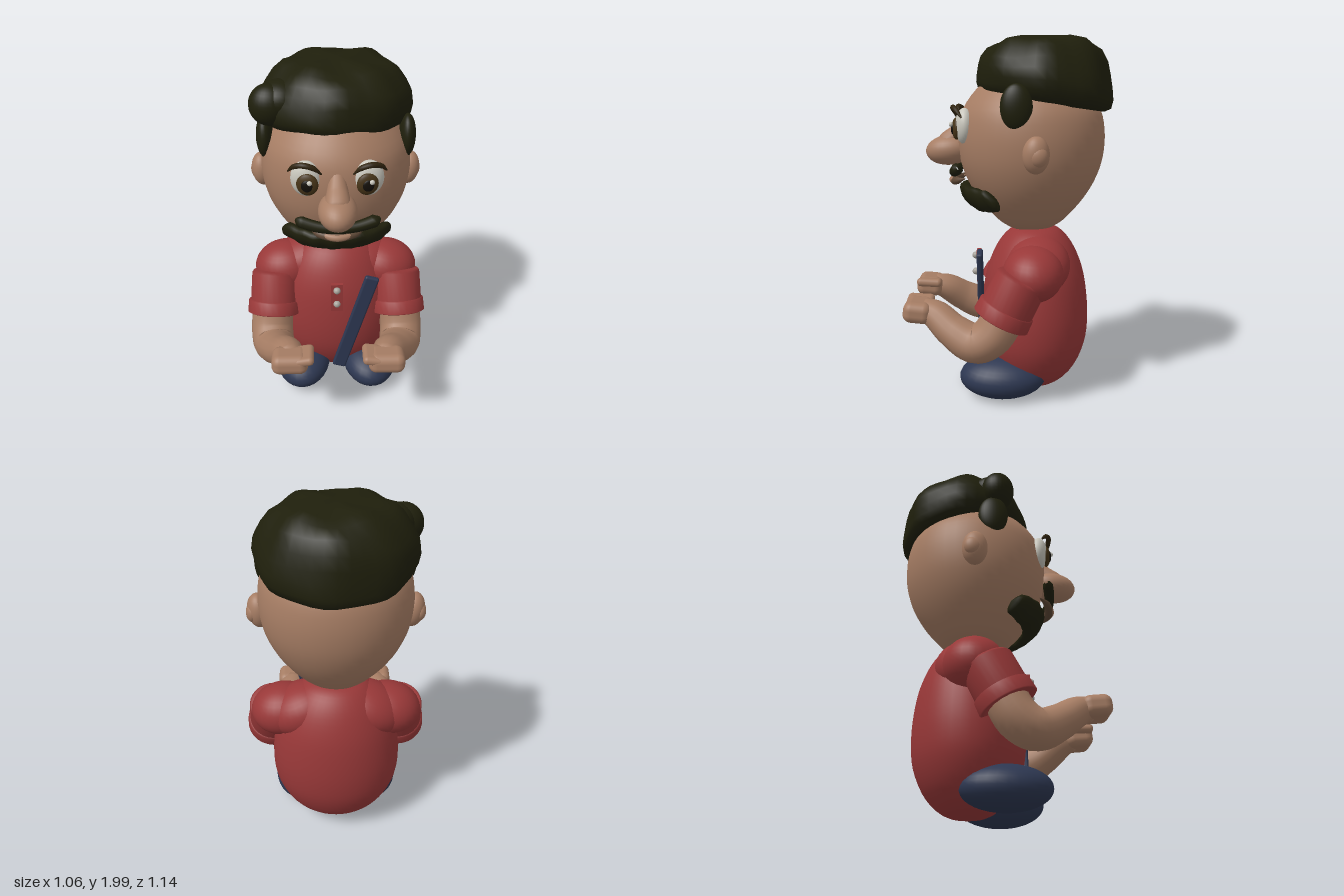
import * as THREE from 'three';
import { mergeVertices } from 'three/addons/utils/BufferGeometryUtils.js';
import { RoundedBoxGeometry } from 'three/addons/geometries/RoundedBoxGeometry.js';

const V = (x, y, z) => new THREE.Vector3(x, y, z);

function makeMaterials() {
  const colors = {
    skin: 0xa67d64, shirt: 0x983838, hair: 0x1f1f0c, navy: 0x2d3751, eyeWhite: 0xc9c7bd,
    iris: 0x463418, pupil: 0x14100a, brow: 0x30240f, button: 0xa8a49c, lip: 0x5e4836,
  };
  const mats = {};
  for (const [name, color] of Object.entries(colors)) {
    mats[name] = new THREE.MeshStandardMaterial({ color });
    mats[name].name = name;
  }
  return mats;
}

// Welds seams and gives smooth normals
function smooth(geo) {
  geo.deleteAttribute('uv');
  geo.deleteAttribute('normal');
  const g = mergeVertices(geo, 1e-5);
  g.computeVertexNormals();
  return g;
}

// Moves every vertex by a rule that edits the vector in place
function reshape(geo, rule) {
  const p = geo.attributes.position, v = V(0, 0, 0);
  for (let i = 0; i < p.count; i++) {
    rule(v.fromBufferAttribute(p, i), i);
    p.setXYZ(i, v.x, v.y, v.z);
  }
  return geo;
}

// Turned shape; profile runs from bottom to top
function lathe(profile, sides = 40) {
  return new THREE.LatheGeometry(profile.map(([r, y]) => new THREE.Vector2(r, y)), sides);
}

// Smooth profile through a few points
function smoothLathe(profile) {
  const curve = new THREE.SplineCurve(profile.map(([r, y]) => new THREE.Vector2(r, y)));
  return lathe(curve.getPoints(36).map(p => [Math.max(0, p.x), p.y]));
}

// Limb with varying radius along a path; rows are [x, y, z, radius]
function limb(rows, steps = 24, sides = 16, flat = V(1, 1, 1)) {
  const curve = new THREE.CatmullRomCurve3(rows.map(r => V(r[0], r[1], r[2])));
  const geo = new THREE.TubeGeometry(curve, steps, 1, sides);
  const n = rows.length - 1;
  reshape(geo, (v, i) => {
    const u = Math.floor(i / (sides + 1)) / steps;
    const t = curve.getUtoTmapping(u) * n, k = Math.min(n - 1, Math.floor(t));
    const r = THREE.MathUtils.lerp(rows[k][3], rows[k + 1][3], t - k);
    const c = curve.getPointAt(u);
    v.sub(c).multiplyScalar(r).multiply(flat).add(c);
  });
  return smooth(geo);
}

export function createModel() {
  const model = new THREE.Group();
  model.name = 'seatedFigure';
  const m = makeMaterials();

  const add = (name, geo, mat, pos = [0, 0, 0], rot = [0, 0, 0], parent = model) => {
    const mesh = new THREE.Mesh(geo, mat);
    mesh.name = name;
    mesh.position.set(...pos);
    mesh.rotation.set(...rot);
    parent.add(mesh);
    return mesh;
  };
  const ball = (name, mat, pos, radii, rot, parent) => {
    const geo = new THREE.SphereGeometry(1, 28, 18).scale(...radii);
    return add(name, geo, mat, pos, rot, parent);
  };

  // Torso
  const torso = smoothLathe([[0, 0.01], [0.15, 0.035], [0.27, 0.125], [0.345, 0.26], [0.368, 0.4],
    [0.36, 0.55], [0.328, 0.7], [0.265, 0.83], [0.185, 0.915], [0.1, 0.948], [0, 0.955]]);
  add('torso', smooth(torso.scale(1, 1, 0.83)), m.shirt, [0, 0, -0.15]);

  // Shirt front: placket, buttons and diagonal strap
  add('placket', new THREE.BoxGeometry(0.068, 0.185, 0.022), m.shirt, [0, 0.712, 0.172]);
  for (const y of [0.77, 0.675]) ball('button', m.button, [0, y, 0.19], [0.02, 0.02, 0.02]);
  add('strap', new RoundedBoxGeometry(0.082, 0.69, 0.032, 2, 0.012), m.navy,
    [0.107, 0.505, 0.155], [0, 0, -0.28]);

  // Head
  const head = smoothLathe([[0, 0.92], [0.09, 0.932], [0.165, 0.97], [0.225, 1.025], [0.295, 1.11],
    [0.35, 1.2], [0.389, 1.3], [0.406, 1.4], [0.405, 1.5], [0.382, 1.6], [0.315, 1.7],
    [0.22, 1.79], [0.1, 1.86], [0, 1.88]]);
  add('head', smooth(head), m.skin, [0, 0, -0.125]);

  // Nose
  ball('noseTip', m.skin, [0, 1.377, 0.33], [0.1, 0.085, 0.136], [0.1, 0, 0]);
  add('noseBridge', limb([[0, 1.62, 0.2, 0], [0, 1.54, 0.232, 0.04], [0, 1.47, 0.28, 0.054],
    [0, 1.41, 0.335, 0.07], [0, 1.36, 0.35, 0]]), m.skin);

  // Hair: lumpy cap, lower at the back
  const cap = lathe([[0, 1.66], [0.27, 1.64], [0.345, 1.638], [0.383, 1.66], [0.398, 1.7], [0.4, 1.75],
    [0.39, 1.81], [0.367, 1.865], [0.328, 1.92], [0.275, 1.96], [0.2, 1.982], [0.1, 1.99], [0, 1.985]], 40);
  reshape(cap, v => {
    const a = Math.atan2(v.x, v.z), r = Math.hypot(v.x, v.z);
    const low = THREE.MathUtils.clamp((1.95 - v.y) / 0.28, 0, 1);
    const lump = r < 0.01 ? 0 : Math.sin(5 * a + 9 * v.y) * Math.sin(3 * a - 14 * v.y);
    v.x *= (1 + 0.035 * lump) * 1.01;
    v.z *= (1 + 0.035 * lump) * 0.93;
    v.y += 0.15 * v.z * low + (1 - low) * 0.016 * Math.sin(20 * v.x + 1) * Math.cos(17 * v.z);
  });
  add('hairCap', smooth(cap), m.hair, [0, 0, -0.195]);
  ball('hairTuft', m.hair, [-0.34, 1.805, -0.02], [0.108, 0.11, 0.095]);
  ball('hairTuft', m.hair, [-0.28, 1.825, -0.05], [0.12, 0.1, 0.12]);

  // Moustache, lip and beard
  add('moustache', limb([[-0.215, 1.293, 0.265, 0.01], [-0.195, 1.287, 0.275, 0.03], [-0.1, 1.265, 0.297, 0.029],
    [0, 1.258, 0.307, 0.026], [0.1, 1.265, 0.297, 0.029], [0.195, 1.287, 0.275, 0.034], [0.22, 1.297, 0.265, 0.01]],
  30, 10), m.hair);
  add('mouth', limb([[-0.15, 1.232, 0.23, 0], [-0.1, 1.215, 0.28, 0.02], [0, 1.208, 0.305, 0.027],
    [0.1, 1.215, 0.28, 0.02], [0.15, 1.232, 0.23, 0]]), m.lip);
  add('lowerLip', limb([[-0.13, 1.225, 0.24, 0], [-0.07, 1.214, 0.295, 0.018], [0, 1.209, 0.315, 0.021],
    [0.07, 1.214, 0.295, 0.018], [0.13, 1.225, 0.24, 0]]), m.skin);
  const beard = limb([[-0.288, 1.125, 0.055, 0], [-0.273, 1.125, 0.075, 0.055], [-0.16, 1.12, 0.17, 0.07],
    [0, 1.122, 0.21, 0.07], [0.16, 1.12, 0.17, 0.07], [0.273, 1.125, 0.075, 0.055], [0.288, 1.125, 0.055, 0]],
  40, 14, V(0.7, 1, 0.7));
  reshape(beard, v => {
    v.z += (v.y - 1.12) * 0.6;
    v.y += 0.006 * Math.sin(60 * v.x) * Math.cos(25 * v.z);
  });
  beard.computeVertexNormals();
  add('beard', beard, m.hair);

  for (const s of [1, -1]) {
    const side = s > 0 ? 'left' : 'right';

    // Sideburn and ear
    ball(side + 'Sideburn', m.hair, [s * 0.375, 1.62, -0.045], [0.046, 0.118, 0.083]);
    ball(side + 'Ear', m.skin, [s * 0.405, 1.38, -0.145], [0.06, 0.097, 0.07], [0, s * 0.2, s * -0.1]);
    ball(side + 'EarLobe', m.skin, [s * 0.435, 1.375, -0.155], [0.036, 0.055, 0.05]);

    // Eye with iris, pupil, glint and brow
    const eye = new THREE.Group();
    eye.name = side + 'Eye';
    eye.position.set(s * 0.158, 1.515, 0.235);
    eye.rotation.y = s * 0.15;
    model.add(eye);
    ball('eyeWhite', m.eyeWhite, [0, 0, 0], [0.079, 0.097, 0.05], undefined, eye);
    ball('iris', m.iris, [s * -0.014, -0.013, 0.042], [0.056, 0.06, 0.024], undefined, eye);
    ball('pupil', m.pupil, [s * -0.014, -0.013, 0.062], [0.029, 0.032, 0.01], undefined, eye);
    ball('glint', m.eyeWhite, [s * -0.014 + 0.016, 0.01, 0.072], [0.013, 0.013, 0.011], undefined, eye);
    const brow = [[s * -0.085, 0.045, 0.035, 0.004], [s * -0.05, 0.083, 0.052, 0.014], [0, 0.1, 0.06, 0.015],
      [s * 0.05, 0.085, 0.045, 0.014], [s * 0.087, 0.045, 0.02, 0.004]];
    add('brow', limb(brow, 20, 8), m.brow, [0, 0, 0], [0, 0, 0], eye);

    // Shoulder blending into the neck, and rolled sleeve
    ball(side + 'ShoulderBlade', m.shirt, [s * 0.19, 0.765, -0.165], [0.21, 0.145, 0.175], [0, 0, s * -0.4]);
    ball(side + 'Shoulder', m.shirt, [s * 0.3, 0.738, -0.135], [0.185, 0.148, 0.165], [0, 0, s * -0.15]);
    const tilt = [-0.464, 0, s * 0.05];
    const sleeve = lathe([[0.12, -0.12], [0.145, -0.12], [0.141, 0.085], [0.13, 0.1], [0, 0.11]], 28);
    add(side + 'Sleeve', sleeve, m.shirt, [s * 0.365, 0.64, -0.035], tilt);
    const cuff = lathe([[0.1, 0], [0.11, -0.04], [0.15, -0.04], [0.158, -0.035], [0.154, 0.035], [0.14, 0.04]], 28);
    add(side + 'Cuff', cuff, m.shirt, [s * 0.372, 0.538, 0.018], tilt);

    // Bent forearm and hand
    add(side + 'Forearm', limb([[s * 0.37, 0.58, 0.0, 0], [s * 0.375, 0.54, 0.015, 0.115],
      [s * 0.387, 0.425, 0.08, 0.115], [s * 0.375, 0.377, 0.17, 0.113], [s * 0.335, 0.43, 0.29, 0.095],
      [s * 0.282, 0.503, 0.39, 0.082], [s * 0.26, 0.525, 0.46, 0.065], [s * 0.255, 0.53, 0.5, 0]], 32, 16,
    V(1.08, 0.95, 1)), m.skin);
    add(side + 'Hand', new RoundedBoxGeometry(0.2, 0.115, 0.155, 4, 0.045), m.skin,
      [s * 0.265, 0.525, 0.487], [-0.1, 0, 0]);
    add(side + 'Fingers', new RoundedBoxGeometry(0.11, 0.05, 0.15, 4, 0.024), m.skin,
      [s * 0.187, 0.555, 0.485], [-0.05, 0, s * -0.15]);

    // Stubby leg
    ball(side + 'Leg', m.navy, [s * 0.207, 0.127, 0.03], [0.167, 0.119, 0.24], [0, 0, s * -0.1]);
  }
  return model;
}
